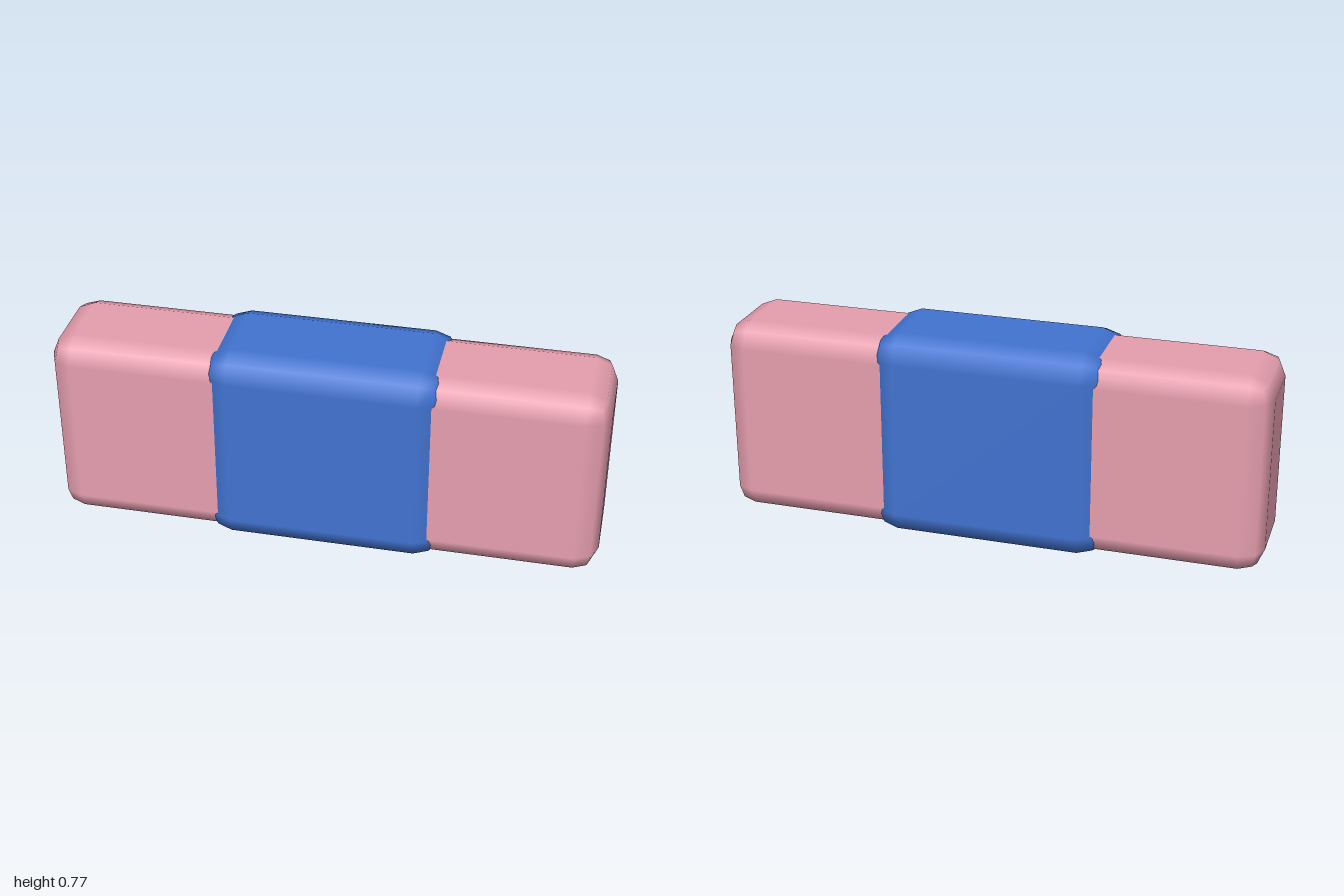
import * as THREE from 'three';
import { RoundedBoxGeometry } from 'three/addons/geometries/RoundedBoxGeometry.js';

const MID_Y = 0.3875;

const pink = new THREE.MeshStandardMaterial({ color: 0xe8a0b0 });
pink.name = 'rubber pink';
const blue = new THREE.MeshStandardMaterial({ color: 0x4274d2 });
blue.name = 'sleeve blue';

// Smooth-shaded block with one 45 degree step around each edge
function block(name, width, height, depth, radius, material) {
  const mesh = new THREE.Mesh(new RoundedBoxGeometry(width, height, depth, 1, radius), material);
  mesh.name = name;
  mesh.position.y = MID_Y;
  return mesh;
}

export function createModel() {
  const group = new THREE.Group();
  group.name = 'eraser';

  // Long rubber body
  group.add(block('rubberBody', 2, 0.735, 0.4, 0.085, pink));

  // Wrapper around the middle; its rounded ends sink into the rubber
  group.add(block('sleeve', 0.87, 0.775, 0.44, 0.095, blue));

  return group;
}
